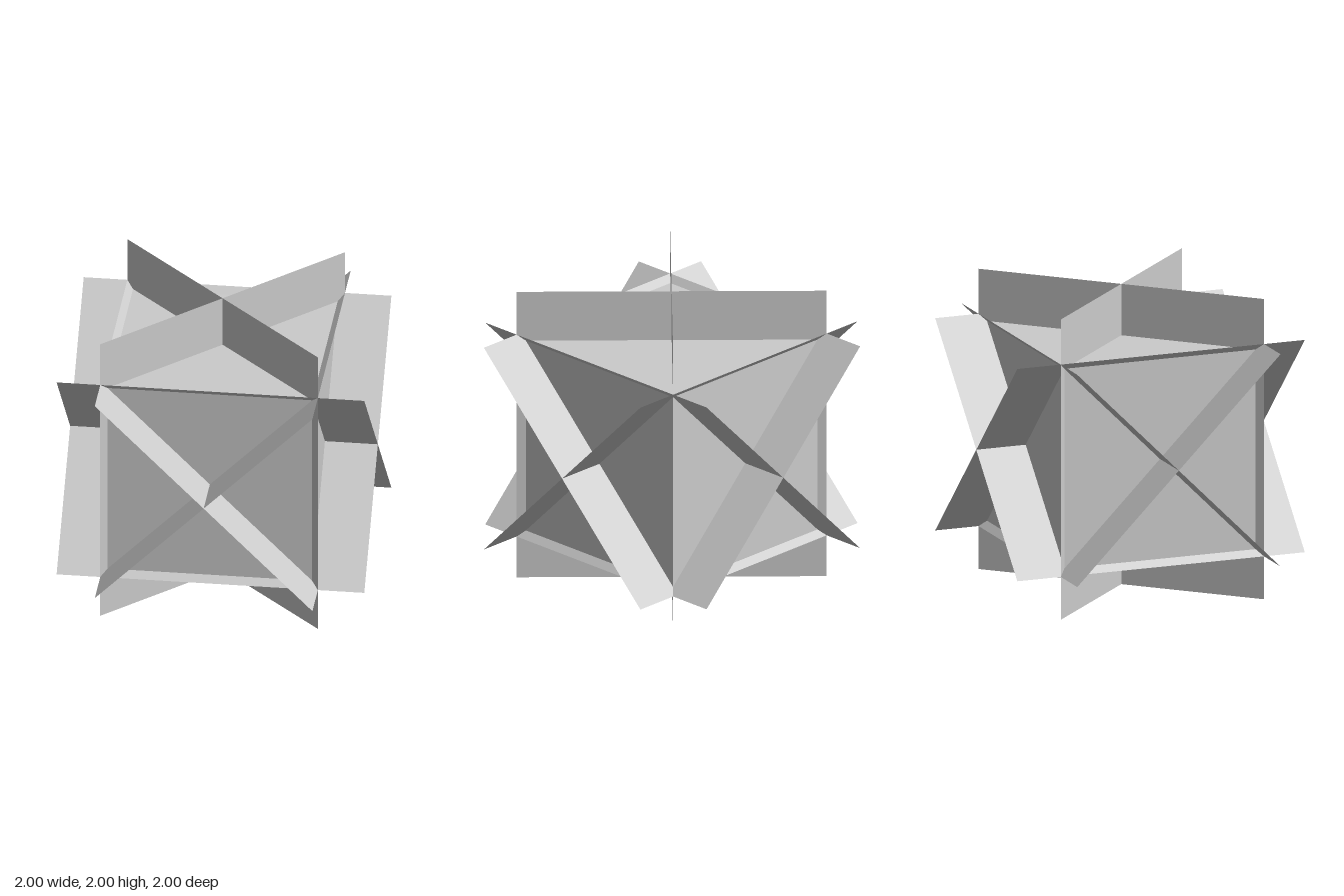
import * as THREE from 'three';

export function createModel() {
  const group = new THREE.Group();
  const solid = new THREE.MeshStandardMaterial({ color: 0xcccccc, flatShading: true });
  const sheet = new THREE.MeshStandardMaterial({ color: 0xcccccc, flatShading: true, side: THREE.DoubleSide });
  const centre = new THREE.Vector3(-0.009, 0.993, 0.009);

  // Cube at the heart of the crossed sheets
  const core = new THREE.Mesh(new THREE.BoxGeometry(1.33, 1.33, 1.33), solid);
  core.name = 'coreCube';
  core.position.copy(centre);
  group.add(core);

  // Two square sheets cross at right angles along each axis
  for (const axis of ['x', 'y', 'z']) {
    for (const side of [-1, 1]) {
      const geometry = new THREE.PlaneGeometry(2, 2);
      if (axis === 'z') geometry.rotateX(Math.PI / 2);
      geometry['rotate' + axis.toUpperCase()](side * Math.PI / 4);
      const fin = new THREE.Mesh(geometry, sheet);
      fin.name = `${axis}DiagonalSheet${side > 0 ? 'A' : 'B'}`;
      fin.position.copy(centre);
      fin.position[axis] = axis === 'y' ? 1 : 0;
      group.add(fin);
    }
  }
  return group;
}
